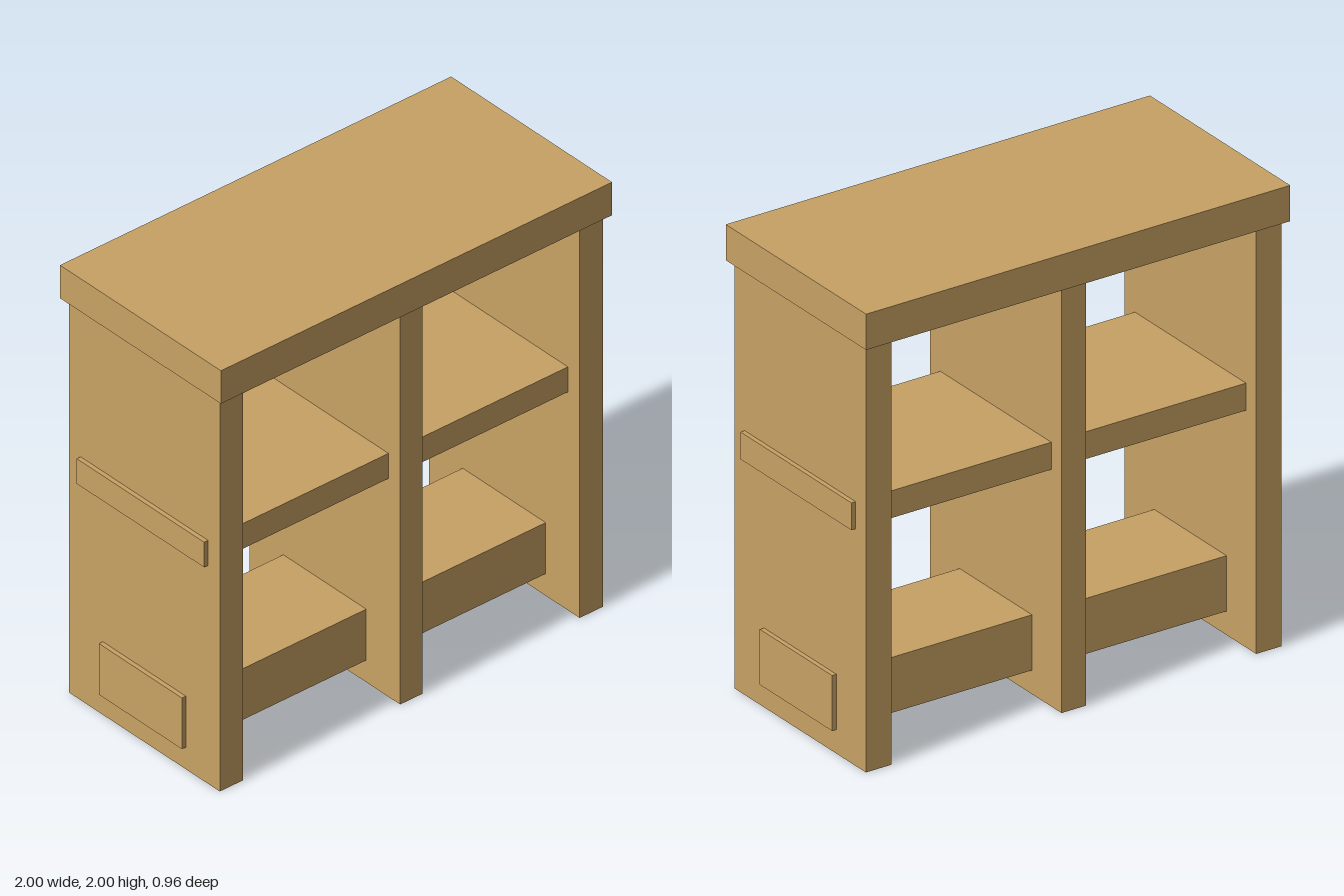
import * as THREE from 'three';

export function createModel() {
  const model = new THREE.Group();
  const wood = new THREE.MeshStandardMaterial({ color: 0xc8a264 });
  wood.name = 'wood';

  // Board centred on z = 0, spanning bottom to top in height
  function board(name, width, bottom, top, depth, x = 0) {
    const mesh = new THREE.Mesh(new THREE.BoxGeometry(width, top - bottom, depth), wood);
    mesh.name = name;
    mesh.position.set(x, (bottom + top) / 2, 0);
    model.add(mesh);
  }

  // Overhanging top
  board('topBoard', 2, 1.845, 2, 0.96);

  // Upright panels
  board('leftPanel', 0.12, 0, 1.845, 0.9, 0.92);
  board('middlePanel', 0.115, 0, 1.845, 0.9);
  board('rightPanel', 0.12, 0, 1.845, 0.9, -0.92);

  // Shelf and lower beam, whose ends pass through the side panels
  board('shelf', 2, 1.025, 1.143, 0.76);
  board('lowerBeam', 2, 0.103, 0.343, 0.495);

  return model;
}
